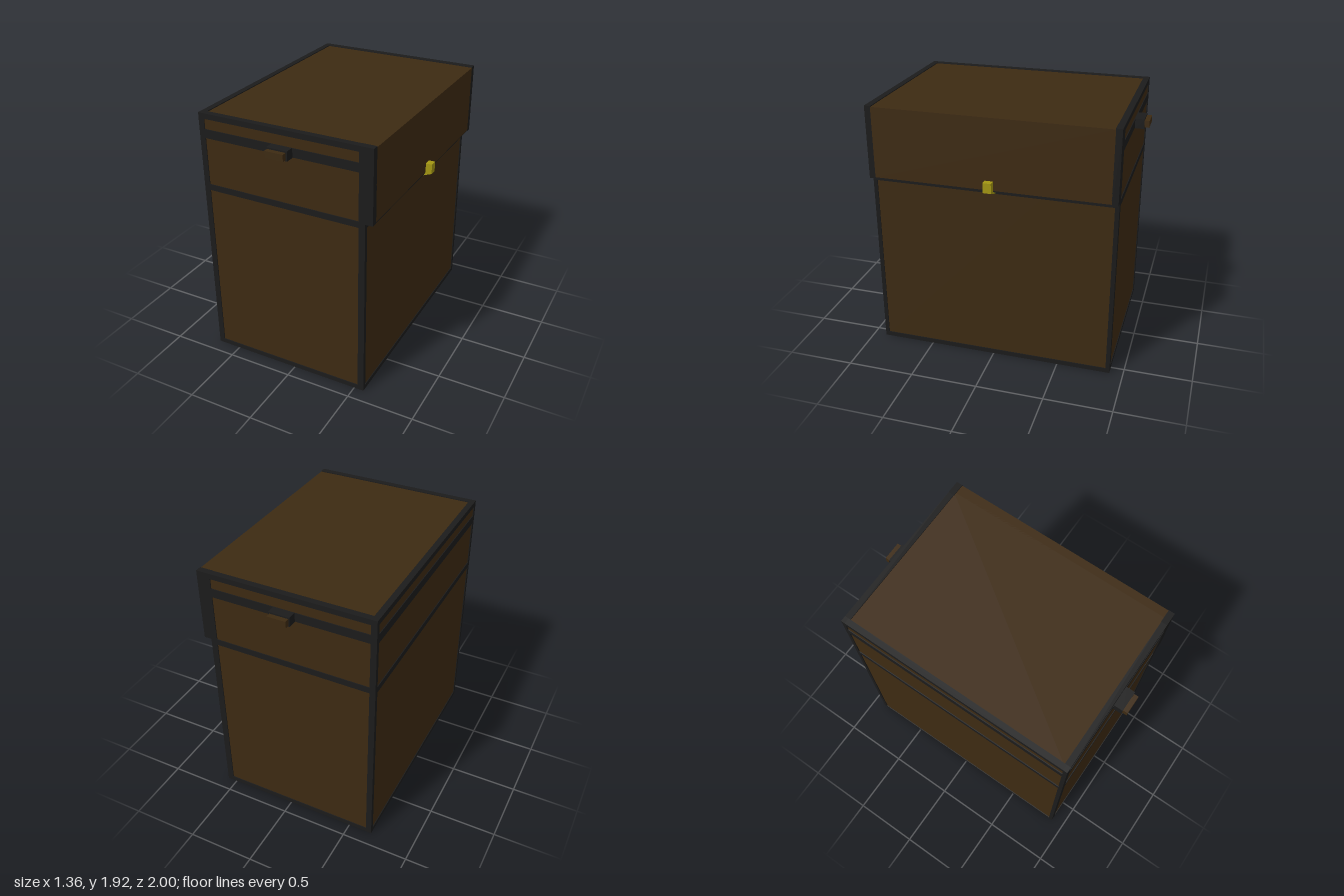
import * as THREE from 'three';

export function createModel() {
  const root = new THREE.Group();
  const wood = new THREE.MeshStandardMaterial({ color: 0x3d2a12 });
  const iron = new THREE.MeshStandardMaterial({ color: 0x1b1b1b });
  const brass = new THREE.MeshStandardMaterial({ color: 0xa39612 });

  // Box given by its extents on each axis
  function box(name, mat, [x0, x1], [y0, y1], [z0, z1]) {
    const mesh = new THREE.Mesh(new THREE.BoxGeometry(x1 - x0, y1 - y0, z1 - z0), mat);
    mesh.position.set((x0 + x1) / 2, (y0 + y1) / 2, (z0 + z1) / 2);
    mesh.name = name;
    root.add(mesh);
  }

  const L = -0.68, R = 0.575, LID = 0.63, TOP = 1.92, SEAM = 1.38, Z = 0.9;
  const inset = 0.006;

  // Wooden panels, slightly inside the trim
  box('body', wood, [L + inset, R - inset], [0, TOP - inset], [-Z + inset, Z - inset]);
  box('lidFront', wood, [R - 0.02, LID], [SEAM + 0.01, TOP - inset], [-0.855, 0.855]);
  box('lidFrontBase', iron, [R - 0.02, LID - 0.003], [SEAM, SEAM + 0.012], [-0.855, 0.855]);

  // Trim and handles mirrored on both ends
  for (const s of [1, -1]) {
    const span = (a, b) => (s > 0 ? [a, b] : [-b, -a]);
    box('backCornerTrim', iron, [L, L + 0.043], [0.002, TOP], span(Z - 0.03, Z));
    box('frontCornerTrim', iron, [R - 0.047, R], [0.002, SEAM], span(Z - 0.03, Z));
    box('lidCornerTrim', iron, [R - 0.047, LID], [SEAM, TOP], span(Z - 0.047, Z));
    for (const [y0, y1] of [[0.002, 0.037], [1.345, 1.39], [1.74, 1.805]])
      box('endBand', iron, [L + 0.043, R - 0.047], [y0, y1], span(Z - 0.03, Z));
    box('topEndTrim', iron, [L + 0.043, R - 0.047], [1.88, TOP], span(Z - 0.045, Z));

    box('handleMount', iron, [-0.106, 0.05], [1.738, 1.808], span(Z, 0.965));
    box('handleGrip', wood, [-0.098, 0.04], [1.747, 1.797], span(0.965, 1));
  }

  // Trim along the long sides
  for (const [y0, y1] of [[0.002, 0.037], [1.345, 1.39], [1.74, 1.805], [1.88, TOP]])
    box('backBand', iron, [L, L + 0.043], [y0, y1], [-Z + 0.03, Z - 0.03]);
  for (const [y0, y1] of [[0.002, 0.037], [1.345, SEAM]])
    box('frontBand', iron, [R - 0.047, R], [y0, y1], [-Z + 0.03, Z - 0.03]);

  // Latch: upright tab with a slanted tongue below it
  const profile = [[0.57, 1.345], [0.677, 1.386], [0.677, 1.46], [0.625, 1.46], [0.625, 1.38], [0.57, 1.372]];
  const shape = new THREE.Shape(profile.map(([x, y]) => new THREE.Vector2(x, y)));
  const latch = new THREE.Mesh(new THREE.ExtrudeGeometry(shape, { depth: 0.06, bevelEnabled: false }), brass);
  latch.position.z = -0.03;
  latch.name = 'latch';
  root.add(latch);

  return root;
}
